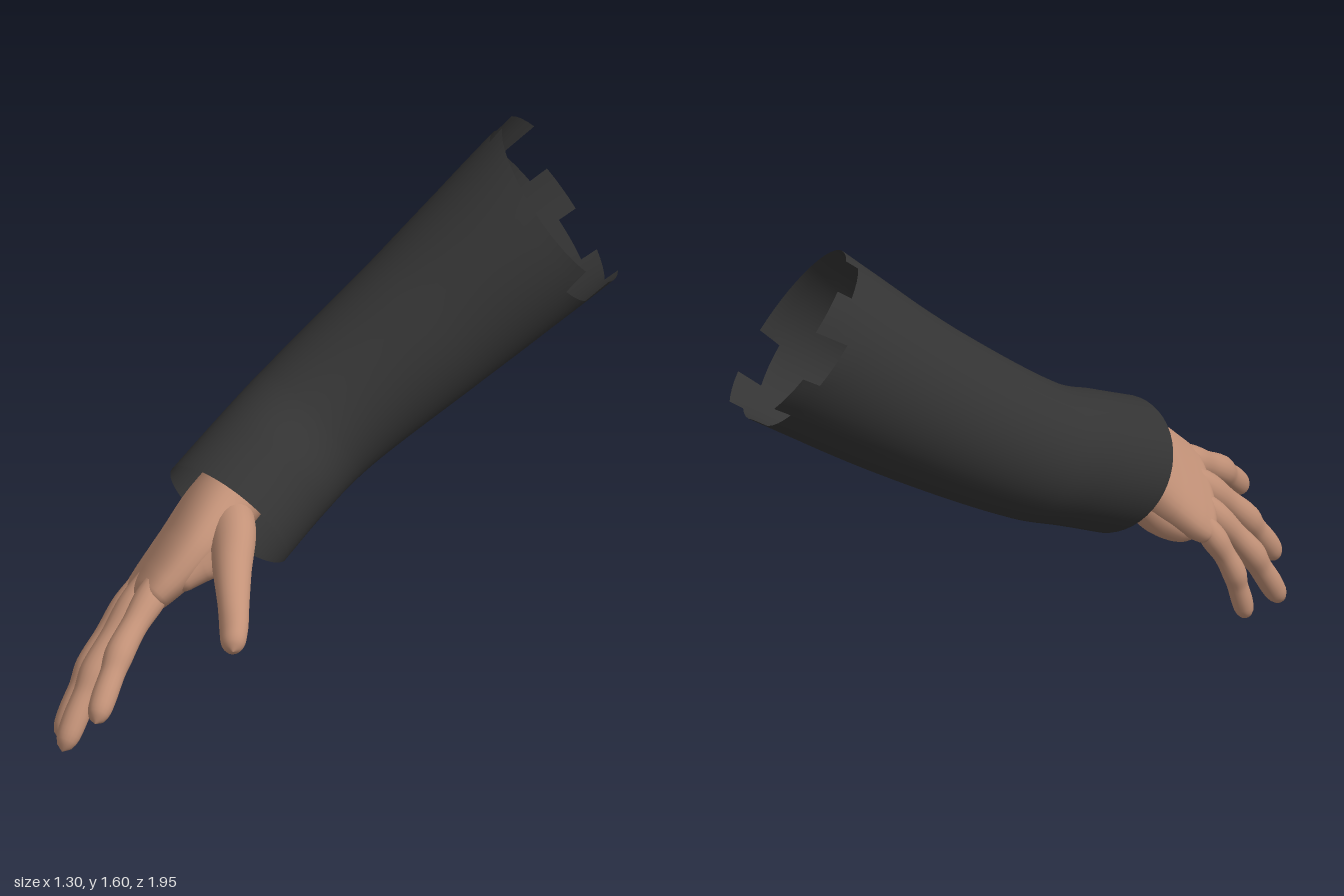
import * as THREE from 'three';

const V = (a) => new THREE.Vector3(...a);
const skin = new THREE.MeshStandardMaterial({ color: 0xc39278 });
skin.name = 'skin';
const cloth = new THREE.MeshStandardMaterial({ color: 0x343434, side: THREE.DoubleSide });
cloth.name = 'dark cloth';

// Direction across the hand (little finger to thumb) and out of its back
const ACROSS = V([0.6, 0.55, 0.56]).normalize();
const BACK = V([-0.7, 0.7, 0.08]).normalize();

// Smooth skin over elliptical sections [x, y, z, halfWidth, halfThickness].
// round: share of the length that closes into a dome; power < 1 makes the section boxier.
function loft(name, material, sections, opt = {}) {
  const { sides = 24, rows = 40, side = ACROSS, round = 0, power = 1, capped = true, normals, skip } = opt;
  const path = new THREE.CatmullRomCurve3(sections.map((s) => V(s.slice(0, 3))));
  const size = new THREE.CatmullRomCurve3(sections.map((s) => V([s[3], s[4], 0])));
  const facing = normals && new THREE.CatmullRomCurve3(normals.map(V));
  const bend = (x) => Math.sign(x) * Math.abs(x) ** power;
  const pos = [];
  const index = [];
  for (let i = 0; i <= rows; i++) {
    const s = i / rows;
    const c = path.getPoint(s);
    const r = size.getPoint(s);
    const t = (facing ? facing.getPoint(s) : path.getTangent(s)).normalize();
    const u = side.clone().addScaledVector(t, -side.dot(t)).normalize();
    const v = t.clone().cross(u);
    const d = Math.max(0, (s - 1 + round) / (round || 1));
    const f = round ? Math.sqrt(Math.max(0.002, 1 - d * d)) : 1;
    for (let j = 0; j < sides; j++) {
      const a = (j / sides) * Math.PI * 2;
      const p = c.clone()
        .addScaledVector(u, bend(Math.cos(a)) * r.x * f)
        .addScaledVector(v, bend(Math.sin(a)) * r.y * f);
      pos.push(p.x, p.y, p.z);
      if (i === rows || (skip && skip(i, j))) continue;
      const k = (j + 1) % sides;
      const A = i * sides + j, B = i * sides + k;
      index.push(A, B, A + sides, B, B + sides, A + sides);
    }
  }
  if (capped) {
    const n = pos.length / 3;
    pos.push(...path.getPoint(0).toArray(), ...path.getPoint(1).toArray());
    for (let j = 0; j < sides; j++) {
      const k = (j + 1) % sides;
      index.push(n, k, j, n + 1, rows * sides + j, rows * sides + k);
    }
  }
  const g = new THREE.BufferGeometry();
  g.setAttribute('position', new THREE.Float32BufferAttribute(pos, 3));
  g.setIndex(index);
  g.computeVertexNormals();
  const mesh = new THREE.Mesh(g, material);
  mesh.name = name;
  return mesh;
}

// Finger from its knuckle to its tip, arched a little toward the back of the hand
function finger(name, base, tip, r) {
  const b = V(base), e = V(tip);
  const steps = [
    // along, arch, thickness
    [-0.3, -0.005, 0.85], [0, 0.012, 1.12], [0.25, 0.022, 0.95], [0.48, 0.026, 1.03],
    [0.64, 0.018, 0.88], [0.78, 0.012, 0.9], [1, 0, 0.76],
  ];
  const sections = steps.map(([s, arch, k]) => {
    const p = b.clone().lerp(e, s).addScaledVector(BACK, arch);
    return [p.x, p.y, p.z, r * k, r * k * 0.95];
  });
  return loft(name, skin, sections, { round: 0.09, sides: 18 });
}

export function createModel() {
  const model = new THREE.Group();
  model.name = 'sleevedArm';

  // Sleeve: open tube, flared and unevenly torn at the upper end
  const notches = [0, 0, 0, 0, 2, 0, 1, 2, 1, 2, 0, 1];
  const sides = 48, rows = 40;
  model.add(loft('sleeve', cloth, [
    [-0.255, 0.625, 0.235, 0.215, 0.225],
    [-0.19, 0.715, 0.06, 0.215, 0.22],
    [-0.115, 0.805, -0.115, 0.218, 0.22],
    [0.15, 1.065, -0.42, 0.25, 0.25],
    [0.455, 1.38, -0.715, 0.295, 0.295],
  ], {
    sides, rows, capped: false, side: V([0, 1, 0]),
    normals: [[0.35, 0.53, -0.77], [0.42, 0.53, -0.73], [0.54, 0.57, -0.62], [0.6, 0.59, -0.54], [0.76, 0.6, -0.26]],
    skip: (i, j) => i >= rows - notches[Math.floor((j / sides) * notches.length)],
  }));

  // Hand
  const hand = new THREE.Group();
  hand.name = 'hand';
  hand.add(loft('palm', skin, [
    [-0.22, 0.74, 0.1, 0.15, 0.1],
    [-0.275, 0.655, 0.25, 0.165, 0.105],
    [-0.34, 0.56, 0.37, 0.195, 0.085],
    [-0.4, 0.475, 0.45, 0.2, 0.07],
    [-0.455, 0.405, 0.52, 0.185, 0.05],
  ], { sides: 36, round: 0.14, power: 0.85 }));

  // Fleshy pad below the little finger
  hand.add(loft('palmHeel', skin, [
    [-0.32, 0.57, 0.2, 0.06, 0.06],
    [-0.385, 0.46, 0.29, 0.075, 0.07],
    [-0.475, 0.37, 0.385, 0.055, 0.05],
  ], { round: 0.25 }));

  // Thumb with its muscle, and the web joining it to the palm
  hand.add(loft('thumb', skin, [
    [-0.26, 0.66, 0.25, 0.075, 0.075],
    [-0.18, 0.645, 0.4, 0.085, 0.07],
    [-0.125, 0.595, 0.54, 0.064, 0.058],
    [-0.075, 0.545, 0.66, 0.05, 0.048],
    [-0.045, 0.505, 0.735, 0.05, 0.043],
    [-0.018, 0.468, 0.815, 0.036, 0.034],
  ], { round: 0.1 }));
  hand.add(loft('thumbWeb', skin, [
    [-0.15, 0.61, 0.47, 0.04, 0.04],
    [-0.235, 0.575, 0.485, 0.06, 0.045],
    [-0.33, 0.52, 0.55, 0.05, 0.045],
  ], { side: V([-0.3, -0.4, 0.8]), round: 0.2 }));

  hand.add(finger('indexFinger', [-0.36, 0.48, 0.6], [-0.4, 0.235, 0.985], 0.046));
  hand.add(finger('middleFinger', [-0.435, 0.42, 0.55], [-0.545, 0.07, 0.885], 0.046));
  hand.add(finger('ringFinger', [-0.49, 0.37, 0.47], [-0.625, 0.015, 0.705], 0.043));
  hand.add(finger('littleFinger', [-0.515, 0.34, 0.385], [-0.59, 0.05, 0.49], 0.038));
  model.add(hand);
  return model;
}
